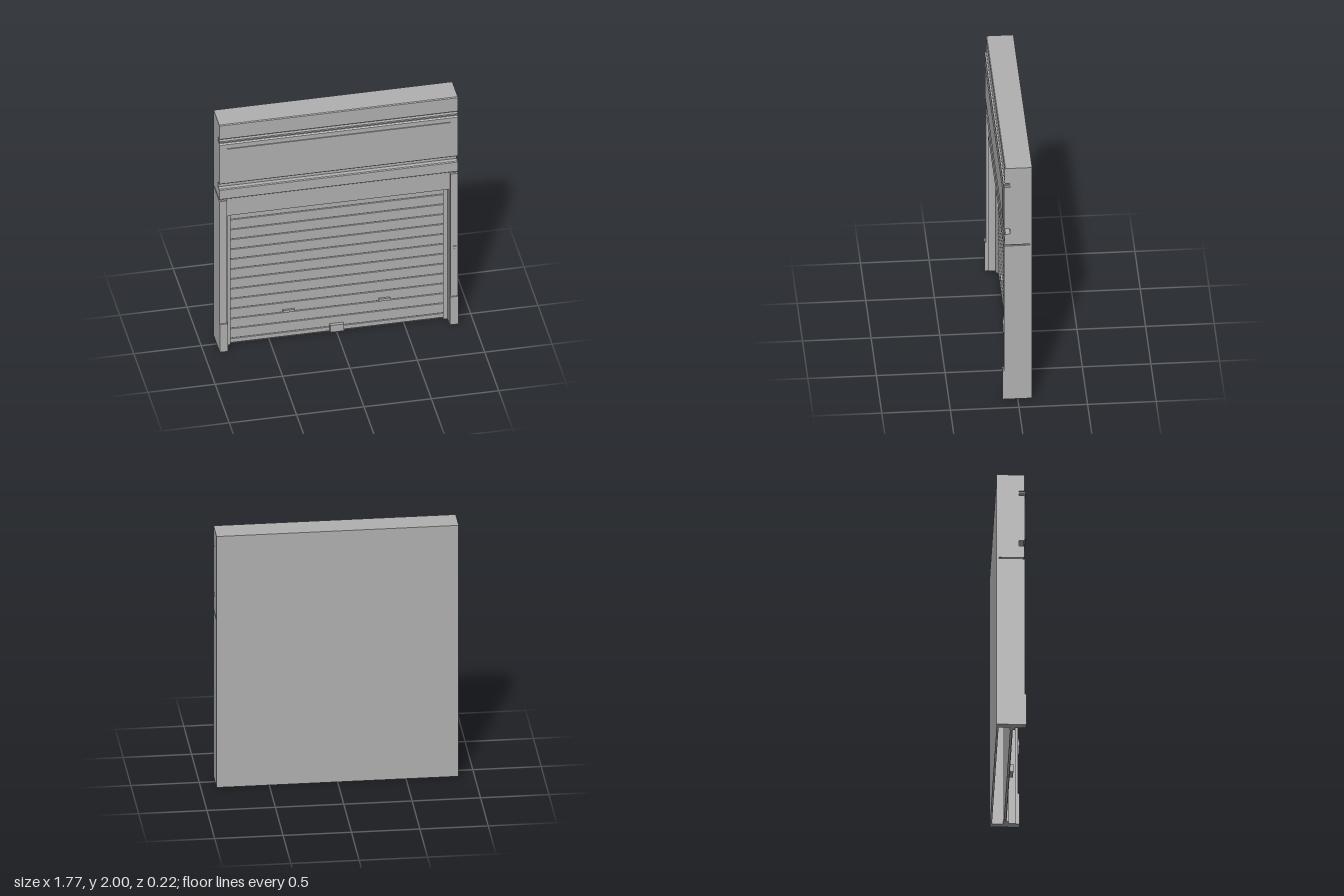
import * as THREE from 'three';

export function createModel() {
  const model = new THREE.Group();
  model.name = 'shopfrontShutter';
  const grey = new THREE.MeshStandardMaterial({ color: 0xb0b0b0 });
  grey.name = 'plain grey';

  const add = (name, geometry) => {
    const mesh = new THREE.Mesh(geometry, grey);
    mesh.name = name;
    model.add(mesh);
    return mesh;
  };

  // Box given by its limits on each axis
  const block = (name, x0, x1, y0, y1, z0, z1) => {
    const g = new THREE.BoxGeometry(x1 - x0, y1 - y0, z1 - z0);
    g.translate((x0 + x1) / 2, (y0 + y1) / 2, (z0 + z1) / 2);
    return add(name, g);
  };

  // The same box on both sides
  const pair = (name, x0, x1, ...rest) => {
    block(name + 'Left', x0, x1, ...rest);
    block(name + 'Right', -x1, -x0, ...rest);
  };

  // Horizontal bar whose two front edges are chamfered by c
  const bar = (name, halfWidth, y0, y1, z0, z1, c) => {
    const s = new THREE.Shape([
      [z0, y0], [z1 - c, y0], [z1, y0 + c], [z1, y1 - c], [z1 - c, y1], [z0, y1],
    ].map(([z, y]) => new THREE.Vector2(z, y)));
    const g = new THREE.ExtrudeGeometry(s, { depth: 2 * halfWidth, bevelEnabled: false });
    g.translate(0, 0, -halfWidth);
    g.rotateY(-Math.PI / 2);
    return add(name, g);
  };

  const W = 0.885;

  // Wall shell, hollow behind the shutter and open at the bottom
  block('backWall', -W, W, 0, 2, -0.105, -0.09);
  block('upperWall', -W, W, 1.338, 2, -0.09, 0.055);
  block('seamSlab', -W + 0.012, W - 0.012, 1.328, 1.338, -0.09, 0.085);
  pair('column', 0.83, W, 0, 1.328, -0.09, 0.1);
  pair('columnInnerTrim', 0.82, 0.83, 0, 1.328, 0.02, 0.085);
  pair('plinth', 0.825, W, 0, 0.245, 0.09, 0.11);

  // Fascia bands and moulding above the opening
  bar('lowerBand', W, 1.338, 1.43, 0.055, 0.095, 0.006);
  bar('signBoard', W, 1.475, 1.835, 0.055, 0.1, 0.009);
  block('signPanel', -0.83, 0.83, 1.52, 1.79, 0.1, 0.107);
  block('thinMoulding', -W, W, 1.85, 1.862, 0.055, 0.105);
  bar('topBand', W, 1.87, 2, 0.055, 0.095, 0.006);

  // Shutter housing and guide rails
  block('shutterHousing', -0.82, 0.82, 1.185, 1.33, -0.02, 0.085);
  pair('guideRail', 0.79, 0.83, 0, 1.185, -0.01, 0.03);

  // Shutter slats, with the bottom one shorter
  const pitch = 0.0877;
  for (let top = 1.185, i = 1; top > 0.01; top -= pitch, i++) {
    bar('slat' + i, 0.795, Math.max(0.004, top - pitch), top, -0.005, 0.015, 0.004);
  }

  // Pull handles, floor lock and switch box
  pair('pullHandle', 0.312, 0.398, 0.225, 0.245, 0.015, 0.03);
  block('floorLock', -0.05, 0.05, 0.01, 0.07, 0.015, 0.04);
  block('switchBox', 0.847, 0.872, 0.57, 0.69, 0.1, 0.107);
  block('switchKey', 0.853, 0.866, 0.645, 0.67, 0.107, 0.11);

  return model;
}
